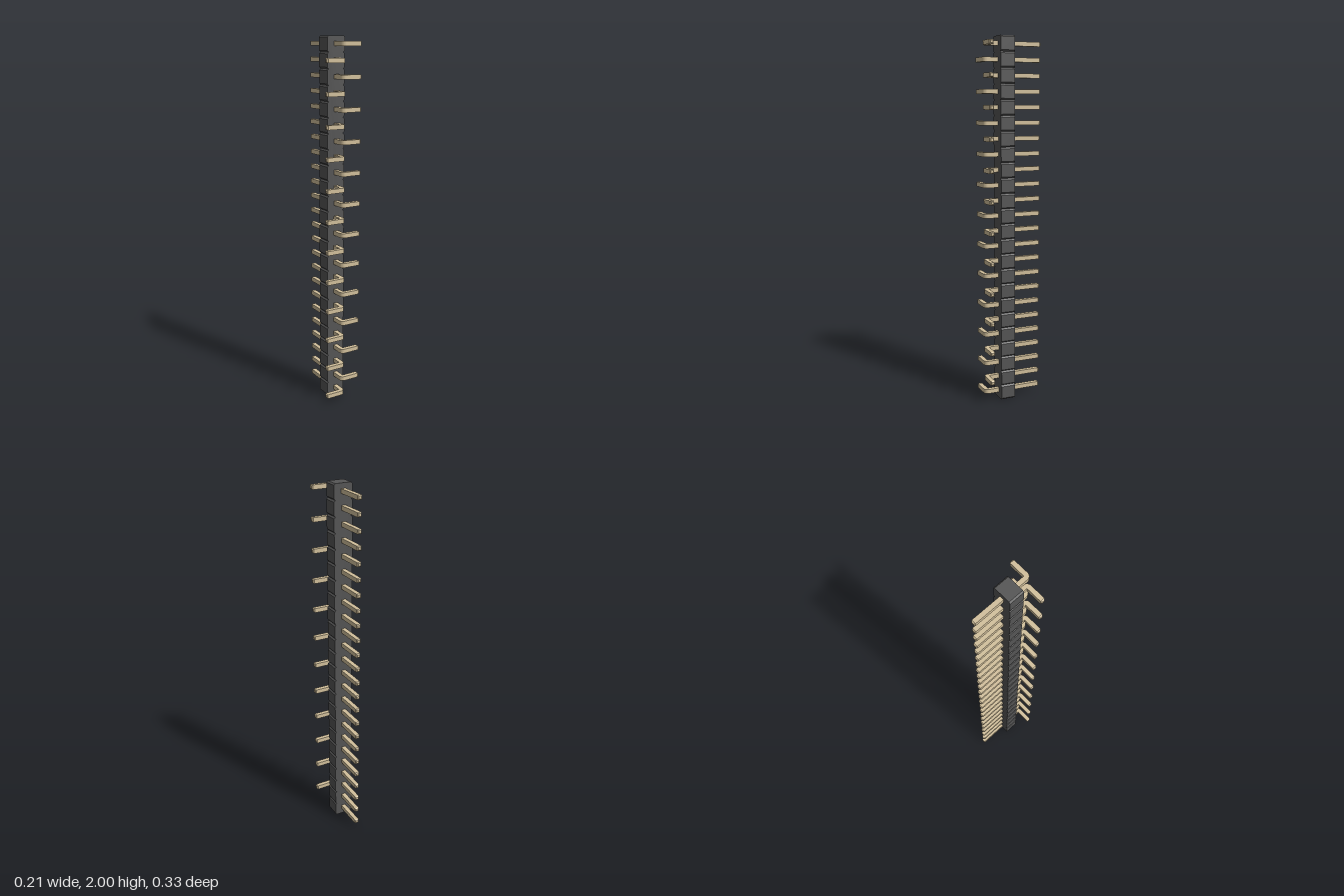
import * as THREE from 'three';
import { mergeGeometries } from 'three/addons/utils/BufferGeometryUtils.js';

const COUNT = 24, PITCH = 2 / COUNT;
const HALF_W = 0.0525, DEPTH = 0.081, CHAMFER = 0.008;
const R = 0.012, TIP = 0.006;                 // pin half thickness, tip taper length
const BACK = -0.168, FOOT_Z = 0.153, REACH = 0.104;

// Housing: a strip of chamfered cells, extruded from back to front
function housingGeometry() {
  const side = [];
  for (let i = 0; i < COUNT; i++) {
    const y0 = i * PITCH, y1 = y0 + PITCH;
    side.push([HALF_W - CHAMFER, y0], [HALF_W, y0 + CHAMFER], [HALF_W, y1 - CHAMFER]);
  }
  side.push([HALF_W - CHAMFER, 2]);
  const outline = [...side, ...side.slice().reverse().map(([x, y]) => [-x, y])];
  const shape = new THREE.Shape(outline.map(([x, y]) => new THREE.Vector2(x, y)));
  return new THREE.ExtrudeGeometry(shape, { depth: DEPTH, bevelEnabled: false });
}

// Square tapered tip, pointing along +y from the origin
function tipGeometry() {
  const s = Math.SQRT2;
  return new THREE.CylinderGeometry(0.007 * s, R * s, TIP, 4, 1)
    .rotateY(Math.PI / 4).translate(0, TIP / 2, 0).toNonIndexed();
}

// Pin: square wire bent towards +x, rounded on the outside of the bend
function pinGeometry() {
  const shape = new THREE.Shape();
  shape.moveTo(-R, BACK + TIP);
  shape.lineTo(R, BACK + TIP);
  shape.lineTo(R, FOOT_Z - R);
  shape.lineTo(REACH - TIP, FOOT_Z - R);
  shape.lineTo(REACH - TIP, FOOT_Z + R);
  shape.lineTo(R, FOOT_Z + R);
  shape.absarc(R, FOOT_Z - R, 2 * R, Math.PI / 2, Math.PI, false);
  shape.closePath();
  const wire = new THREE.ExtrudeGeometry(shape, { depth: 2 * R, bevelEnabled: false, curveSegments: 6 })
    .rotateX(Math.PI / 2).translate(0, R, 0);
  const backTip = tipGeometry().rotateX(-Math.PI / 2).translate(0, 0, BACK + TIP);
  const footTip = tipGeometry().rotateZ(-Math.PI / 2).translate(REACH - TIP, 0, FOOT_Z);
  return mergeGeometries([wire, backTip, footTip]);
}

export function createModel() {
  const model = new THREE.Group();
  model.name = 'pinHeader';
  const plastic = new THREE.MeshStandardMaterial({ color: 0x555555, flatShading: true });
  const metal = new THREE.MeshStandardMaterial({ color: 0xd2c09c, flatShading: true });

  const housing = new THREE.Mesh(housingGeometry(), plastic);
  housing.name = 'housing';
  model.add(housing);

  // Pins alternate sides, the lowest one bending to -x
  const pins = new THREE.Group();
  pins.name = 'pins';
  const geometry = pinGeometry();
  for (let i = 0; i < COUNT; i++) {
    const pin = new THREE.Mesh(geometry, metal);
    pin.name = i % 2 ? 'leftPin' : 'rightPin';
    pin.position.y = (i + 0.5) * PITCH + 0.002;
    if (i % 2 === 0) pin.rotation.z = Math.PI;
    pins.add(pin);
  }
  model.add(pins);
  return model;
}
